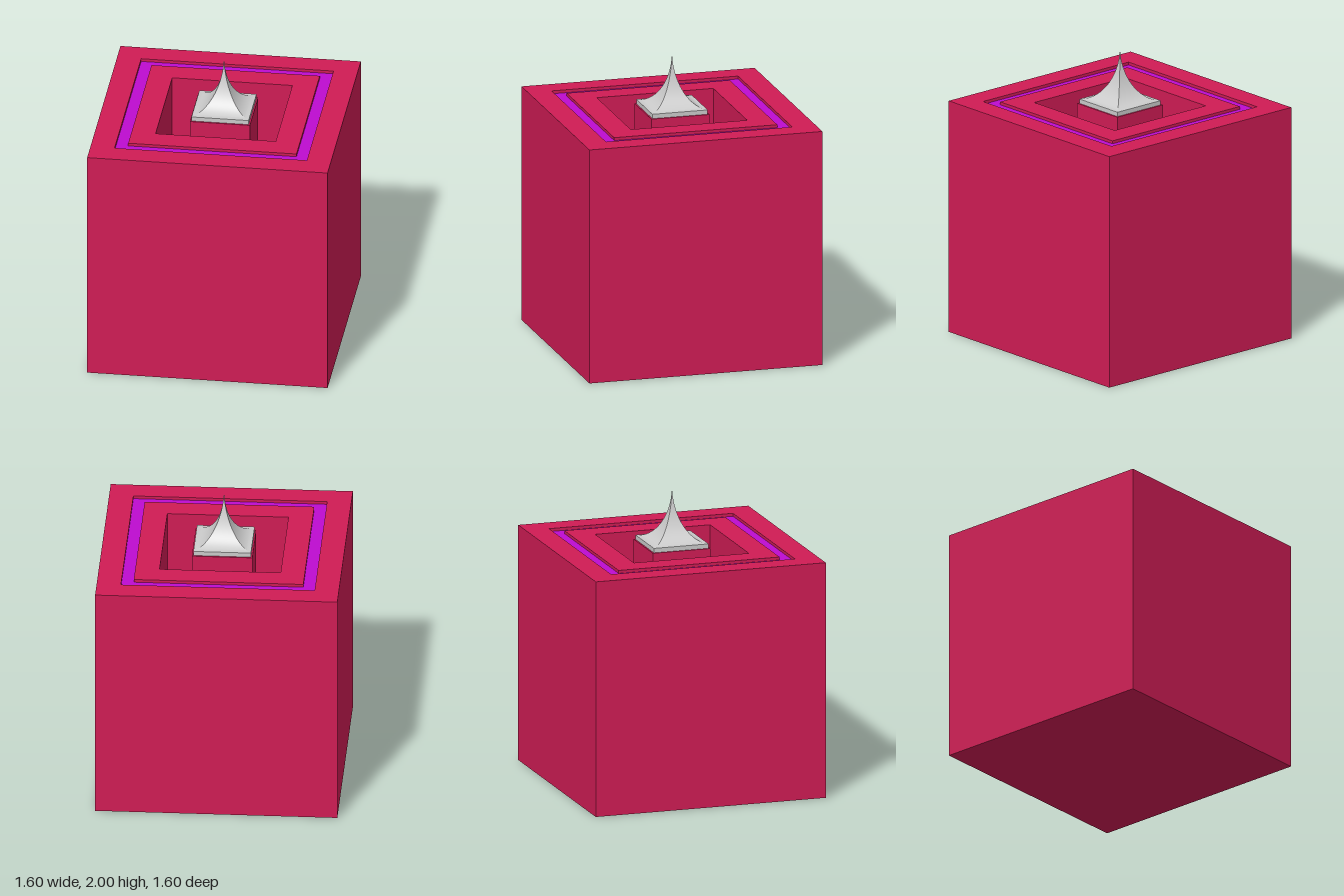
import * as THREE from 'three';
import { toCreasedNormals } from 'three/addons/utils/BufferGeometryUtils.js';

const red = new THREE.MeshStandardMaterial({ color: 0xd01c55 });
const purple = new THREE.MeshStandardMaterial({ color: 0xbe0cd0 });
const grey = new THREE.MeshStandardMaterial({ color: 0xcccccc });

// Square solid turned from a profile of [half width, height], listed bottom to top on the outside
function squareTurned(name, profile, material) {
  const points = profile.map(([half, y]) => new THREE.Vector2(half * Math.SQRT2, y));
  const lathe = new THREE.LatheGeometry(points, 4, Math.PI / 4);
  const mesh = new THREE.Mesh(toCreasedNormals(lathe, 0.4), material);
  mesh.name = name;
  return mesh;
}

export function createModel() {
  const model = new THREE.Group();
  model.name = 'blockWithSpire';

  const top = 1.6;
  const groove = 1.58;
  const pitFloor = 0.8;

  // Cube with its outer rim, down to the groove
  model.add(squareTurned('outerBlock',
    [[0, 0], [0.8, 0], [0.8, top], [0.64, top], [0.64, groove]], red));

  // Coloured floor of the shallow groove
  model.add(squareTurned('grooveFloor', [[0.64, groove], [0.56, groove]], purple));

  // Inner rim, deep pit and the pillar standing in it
  model.add(squareTurned('innerRimAndPillar',
    [[0.56, groove], [0.56, top], [0.4, top], [0.4, pitFloor],
      [0.2, pitFloor], [0.2, top], [0, top]], red));

  // Plinth of the spire
  model.add(squareTurned('spirePlinth',
    [[0, top], [0.19, top], [0.19, 1.63], [0.185, 1.63]], grey));

  // Spire with concave flanks: a quarter ellipse swept to a needle tip
  const flank = [];
  const steps = 20;
  for (let i = 0; i <= steps; i++) {
    const a = (1 - i / steps) * Math.PI / 2;
    flank.push([0.19 * (1 - Math.cos(a)), 2 - 0.37 * Math.sin(a)]);
  }
  model.add(squareTurned('spire', flank, grey));

  return model;
}
